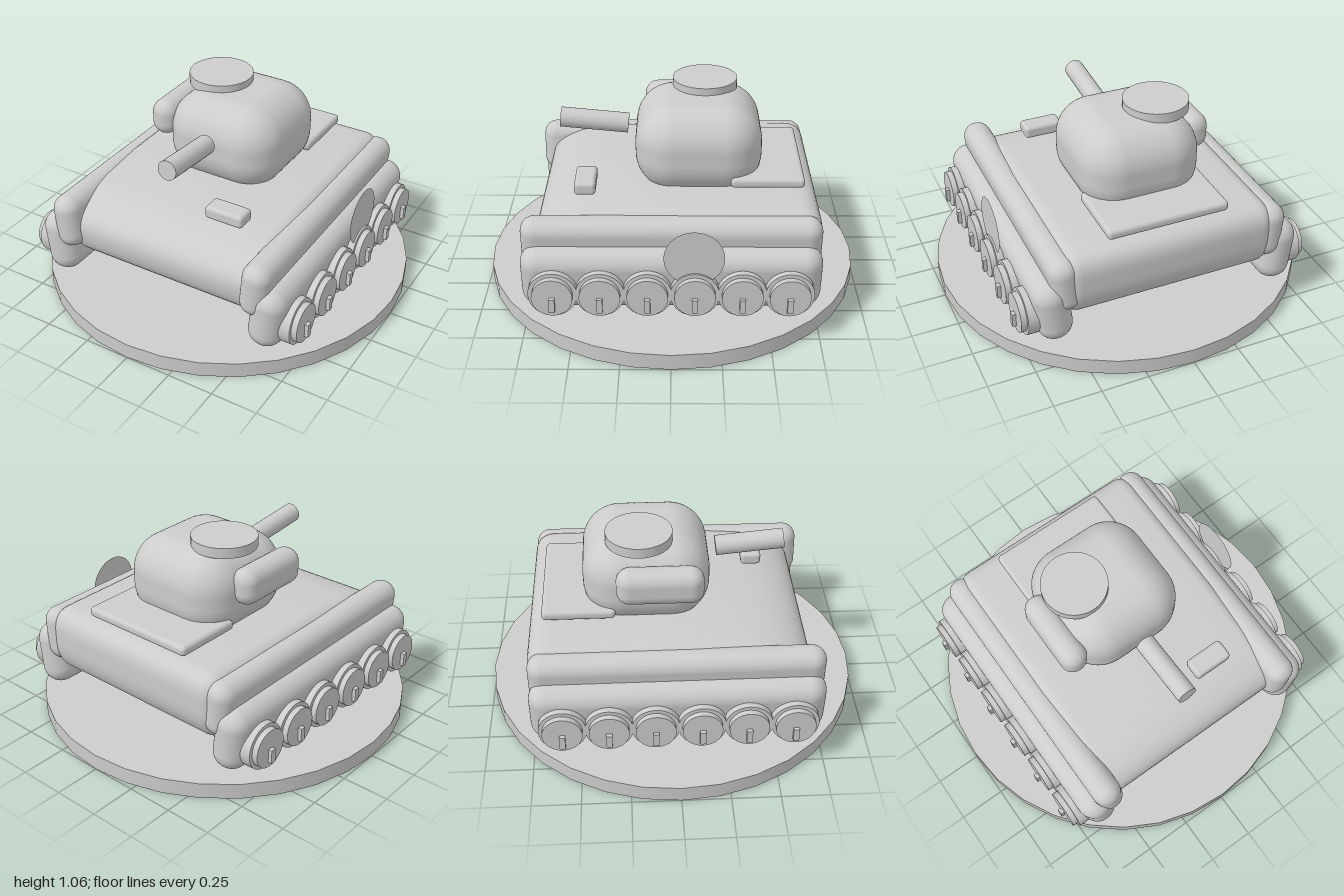
import * as THREE from 'three';
import { RoundedBoxGeometry } from 'three/addons/geometries/RoundedBoxGeometry.js';
import { toCreasedNormals } from 'three/addons/utils/BufferGeometryUtils.js';

export function createModel() {
  const model = new THREE.Group();
  model.name = 'toyTank';
  const grey = new THREE.MeshStandardMaterial({ color: 0xcccccc });
  grey.name = 'plainGrey';
  grey.side = THREE.DoubleSide;

  const add = (name, geometry, x, y, z, parent = model) => {
    const mesh = new THREE.Mesh(geometry, grey);
    mesh.name = name;
    mesh.position.set(x, y, z);
    parent.add(mesh);
    return mesh;
  };
  const rounded = (w, h, d, r, segments = 6) => new RoundedBoxGeometry(w, h, d, segments, r);

  // Round display base
  add('base', new THREE.CylinderGeometry(1, 1, 0.085, 32), 0, 0.0425, 0);

  // Hull: side profile with a rounded nose, extruded across the width
  const profile = new THREE.Shape();
  profile.moveTo(-0.64, 0.622);
  profile.lineTo(0.1, 0.622);
  profile.lineTo(0.4, 0.6);
  profile.bezierCurveTo(0.58, 0.58, 0.7, 0.52, 0.7, 0.42);
  profile.bezierCurveTo(0.7, 0.3, 0.64, 0.24, 0.52, 0.24);
  profile.lineTo(-0.58, 0.24);
  profile.bezierCurveTo(-0.7, 0.24, -0.76, 0.32, -0.76, 0.43);
  profile.lineTo(-0.76, 0.5);
  profile.quadraticCurveTo(-0.76, 0.622, -0.64, 0.622);
  const bevel = 0.08;
  const halfWidth = 0.57;
  const hull = new THREE.ExtrudeGeometry(profile, {
    depth: 2 * (halfWidth - bevel), bevelEnabled: true, bevelSize: bevel,
    bevelThickness: bevel, bevelOffset: -bevel, bevelSegments: 6, curveSegments: 10,
  });
  hull.translate(0, 0, bevel - halfWidth);
  hull.rotateY(-Math.PI / 2);
  add('hull', toCreasedNormals(hull, 0.7), 0, 0, 0);

  // Deck details
  add('rearDeckPlate', rounded(0.655, 0.055, 0.38, 0.022, 3), 0, 0.66, -0.495);
  add('frontHatch', rounded(0.215, 0.07, 0.11, 0.02, 3), 0.262, 0.648, 0.445);

  // Turret with its hatch, side bin and gun
  add('turret', rounded(0.65, 0.47, 0.66, 0.2, 8), 0, 0.785, -0.14);
  add('turretHatch', new THREE.CylinderGeometry(0.172, 0.172, 0.055, 32), -0.15, 1.032, -0.175);
  add('turretSideBin', rounded(0.145, 0.195, 0.445, 0.07), -0.343, 0.855, -0.075);
  const barrel = add('gunBarrel', new THREE.CylinderGeometry(0.053, 0.053, 0.36, 24), 0, 0.873, 0.409);
  barrel.rotation.x = Math.PI / 2 - 0.097;

  // Tracks, fenders and wheels on both sides
  for (const side of [1, -1]) {
    const running = new THREE.Group();
    running.name = side > 0 ? 'leftRunningGear' : 'rightRunningGear';
    model.add(running);

    const fender = add('fender', rounded(0.155, 0.295, 1.51, 0.075), side * 0.562, 0.455, 0, running);
    fender.rotation.z = -side * 0.09;
    const track = add('track', rounded(0.185, 0.345, 1.51, 0.09), side * 0.625, 0.305, 0, running);
    track.rotation.z = -side * 0.12;

    for (let i = 0; i < 6; i++) {
      const wheel = new THREE.Group();
      wheel.name = 'roadWheel' + (i + 1);
      wheel.position.set(side * 0.7, 0.27, 0.588 - i * 0.235);
      running.add(wheel);
      const tyre = add('tyre', new THREE.CylinderGeometry(0.122, 0.122, 0.12, 28), 0, 0, 0, wheel);
      const disc = add('wheelDisc', new THREE.CylinderGeometry(0.102, 0.102, 0.1, 28), side * 0.04, 0, 0, wheel);
      tyre.rotation.z = disc.rotation.z = Math.PI / 2;
      add('wheelLug', new THREE.BoxGeometry(0.06, 0.075, 0.03), side * 0.08, -0.036, 0, wheel);
    }
  }

  // Flat round marker plate on the left side
  const plate = add('sidePlate', new THREE.CircleGeometry(0.15, 32), 0.75, 0.475, -0.112);
  plate.rotation.y = Math.PI / 2;

  return model;
}
